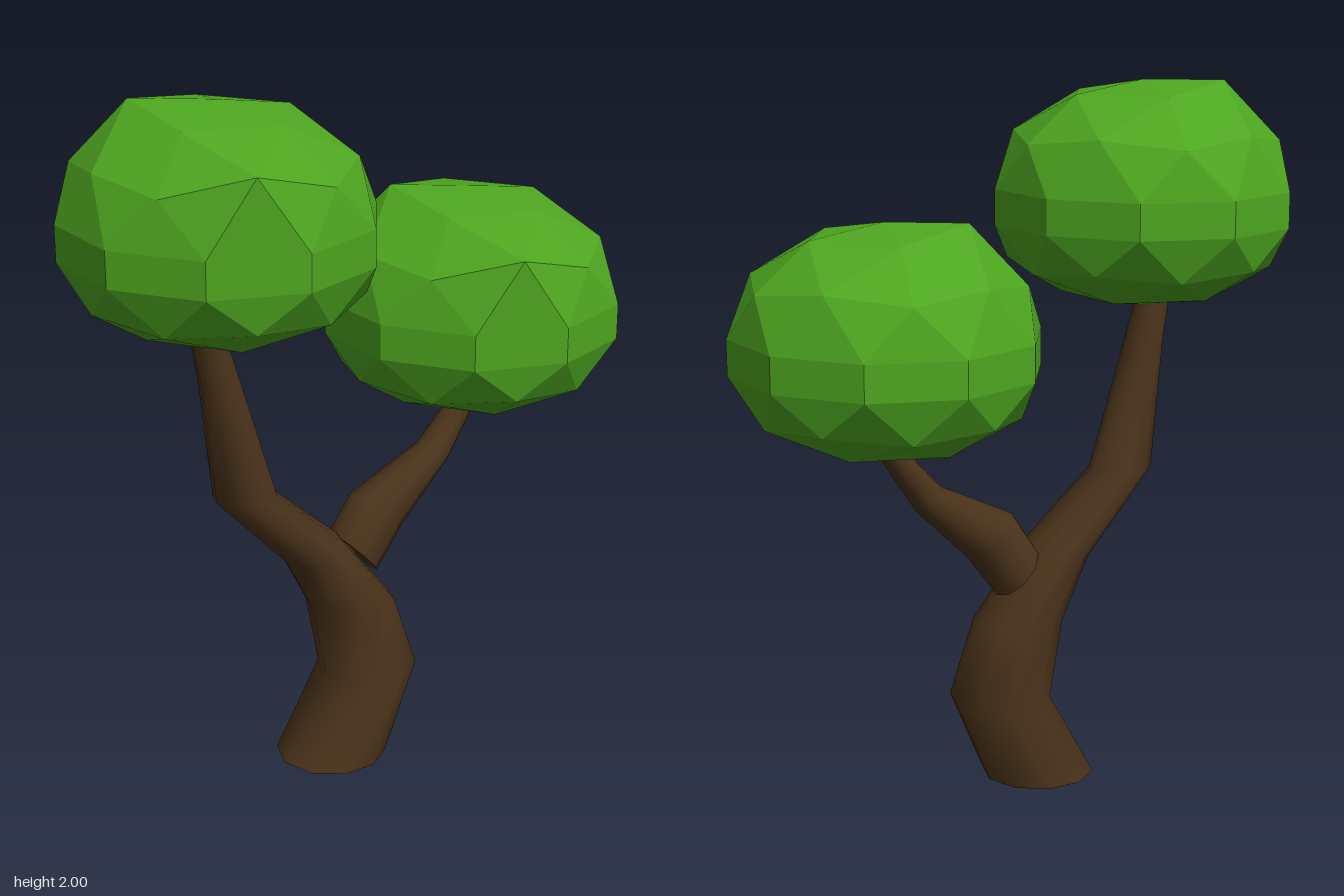
import * as THREE from 'three';
import { mergeGeometries } from 'three/addons/utils/BufferGeometryUtils.js';

const SIDES = 10;

// Limb through oval rings; each ring is [leftX, leftY, rightX, rightY, halfDepth]
function limb(rings) {
  const pos = [], index = [];
  const addRing = ([lx, ly, rx, ry, d]) => {
    const start = pos.length / 3;
    for (let k = 0; k < SIDES; k++) {
      const a = (k / SIDES) * Math.PI * 2, c = Math.cos(a) / 2;
      pos.push((lx + rx) / 2 + (rx - lx) * c, (ly + ry) / 2 + (ry - ly) * c, d * Math.sin(a));
    }
    return start;
  };
  const starts = rings.map(addRing);
  for (let i = 0; i < rings.length - 1; i++) {
    for (let k = 0; k < SIDES; k++) {
      const n = (k + 1) % SIDES;
      const a = starts[i] + k, b = starts[i] + n, c = starts[i + 1] + k, d = starts[i + 1] + n;
      index.push(a, c, b, b, c, d);
    }
  }
  // separate cap vertices keep the end edges sharp
  const cap = (ring, up) => {
    const s = addRing(ring);
    for (let k = 1; k < SIDES - 1; k++) {
      if (up) index.push(s, s + k + 1, s + k);
      else index.push(s, s + k, s + k + 1);
    }
  };
  cap(rings[0], false);
  cap(rings[rings.length - 1], true);
  const g = new THREE.BufferGeometry();
  g.setAttribute('position', new THREE.Float32BufferAttribute(pos, 3));
  g.setIndex(index);
  g.computeVertexNormals();
  return g;
}

// Faceted crown: icosphere split at its equator by a short straight band
function crownGeometry() {
  const RX = 0.426, RZ = 0.445, TOP = 0.30, BOTTOM = 0.242, BAND = 0.05;
  const ball = new THREE.IcosahedronGeometry(1, 1);
  ball.rotateZ(-Math.atan(2 / (1 + Math.sqrt(5)))); // one corner straight up
  const p = ball.attributes.position, v = new THREE.Vector3();
  const bump = new THREE.Vector3(-0.263, 0.526, 0.809);
  const raised = new THREE.Vector3(-0.425, 0.851, -0.309);
  for (let t = 0; t < p.count; t += 3) {
    const upper = p.getY(t) + p.getY(t + 1) + p.getY(t + 2) > 0;
    for (let i = t; i < t + 3; i++) {
      v.fromBufferAttribute(p, i);
      if (v.distanceTo(bump) < 0.1) v.set(-0.305, 0.67, 0.92);
      else if (v.distanceTo(raised) < 0.1) v.y = 1;
      else if (upper && v.y > 0.8 && v.y < 0.9) v.y = 0.88;
      p.setXYZ(i, v.x * RX, upper ? v.y * TOP + BAND : v.y * BOTTOM - BAND, v.z * RZ);
    }
  }
  const band = new THREE.CylinderGeometry(1, 1, BAND * 2, 10, 1, true).toNonIndexed();
  band.scale(RX, 1, RZ);
  const g = mergeGeometries([ball, band]);
  g.computeVertexNormals();
  return g;
}

export function createModel() {
  const model = new THREE.Group();
  model.name = 'tree';
  const bark = new THREE.MeshStandardMaterial({ color: 0x4a331a });
  const leaves = new THREE.MeshStandardMaterial({ color: 0x4ea620, flatShading: true });
  const add = (name, geometry, material, x = 0, y = 0) => {
    const m = new THREE.Mesh(geometry, material);
    m.name = name;
    m.position.set(x, y, 0);
    model.add(m);
  };

  // Crooked tapering trunk
  add('trunk', limb([
    [-0.23, 0, 0.095, 0, 0.162],
    [-0.085, 0.255, 0.205, 0.255, 0.145],
    [-0.13, 0.475, 0.13, 0.475, 0.127],
    [-0.215, 0.645, -0.05, 0.70, 0.108],
    [-0.44, 0.885, -0.26, 0.885, 0.088],
    [-0.48, 1.24, -0.365, 1.23, 0.06],
    [-0.51, 1.41, -0.42, 1.41, 0.047],
  ]), bark);

  // Side branch
  add('branch', limb([
    [-0.05, 0.69, 0.07, 0.56, 0.088],
    [0.02, 0.795, 0.165, 0.685, 0.083],
    [0.25, 0.905, 0.33, 0.845, 0.052],
    [0.395, 1.06, 0.465, 1.05, 0.036],
  ]), bark);

  // Two matching crowns
  const crown = crownGeometry();
  add('rightCrown', crown, leaves, -0.413, 1.65);
  add('leftCrown', crown, leaves, 0.413, 1.302);
  return model;
}
